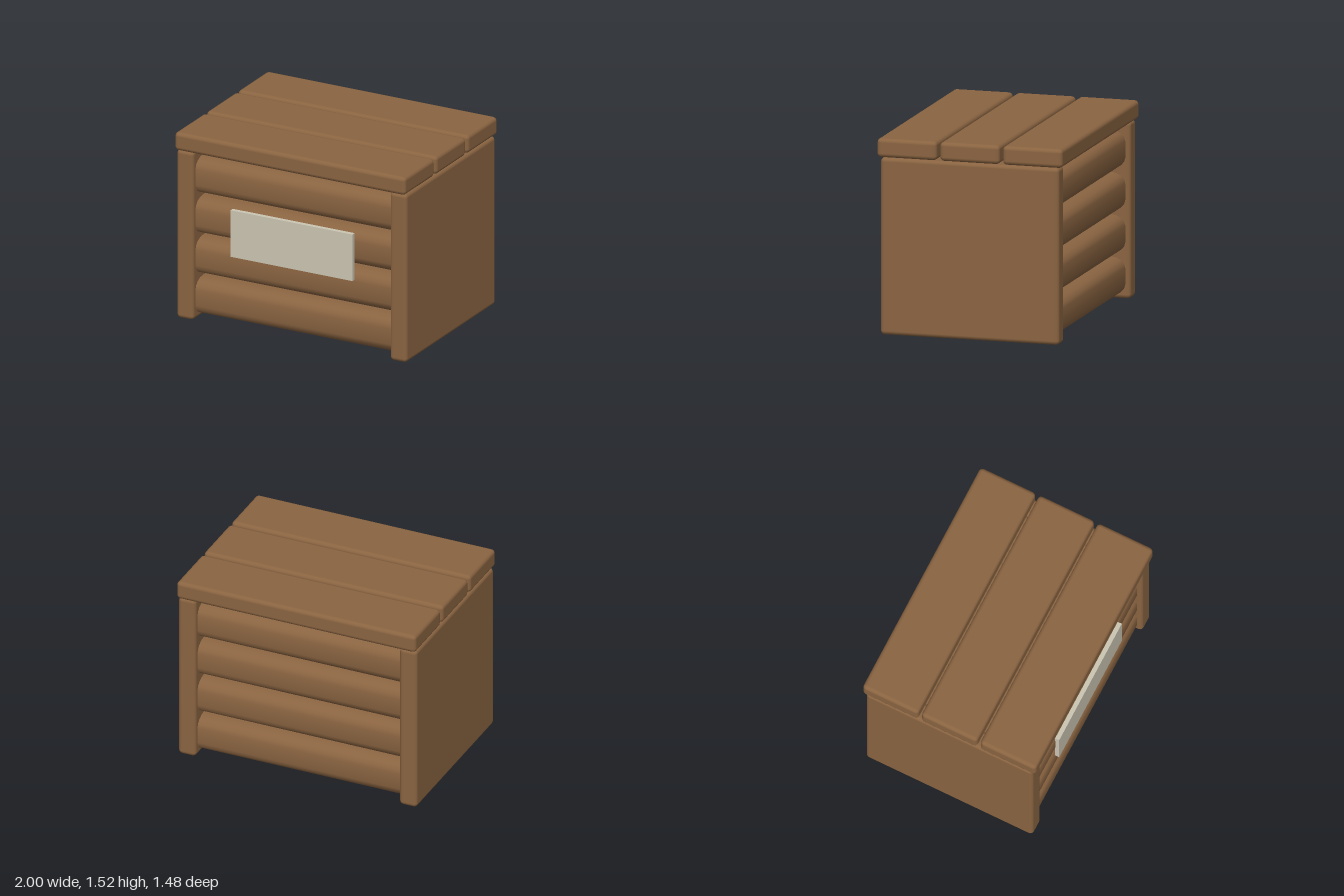
import * as THREE from 'three';
import { toCreasedNormals } from 'three/addons/utils/BufferGeometryUtils.js';
import { RoundedBoxGeometry } from 'three/addons/geometries/RoundedBoxGeometry.js';

export function createModel() {
  const crate = new THREE.Group();
  crate.name = 'crate';

  const wood = new THREE.MeshStandardMaterial({ color: 0x8a6441 });
  wood.name = 'brown wood';
  const cream = new THREE.MeshStandardMaterial({ color: 0xcbc5b2 });
  cream.name = 'cream board';

  const add = (name, geometry, material, x, y, z) => {
    const mesh = new THREE.Mesh(geometry, material);
    mesh.name = name;
    mesh.position.set(x, y, z);
    crate.add(mesh);
  };

  // End panels
  const panel = new RoundedBoxGeometry(0.147, 1.375, 1.42, 2, 0.032);
  add('leftEndPanel', panel, wood, 0.924, 0.6875, 0);
  add('rightEndPanel', panel, wood, -0.924, 0.6875, 0);

  // Lid planks
  const plank = new RoundedBoxGeometry(2, 0.147, 0.475, 2, 0.032);
  [-0.5, 0, 0.5].forEach((z, i) => add('lidPlank' + (i + 1), plank, wood, 0, 1.4485, z));

  // Body boards: rounded section run between the end panels
  const halfDepth = 0.67, halfHeight = 0.149, rz = 0.12, ry = 0.085;
  const section = new THREE.Shape();
  const corners = [[1, 1], [-1, 1], [-1, -1], [1, -1]];
  const points = [];
  corners.forEach(([sz, sy], quadrant) => {
    for (let i = 0; i <= 4; i++) {
      const a = (quadrant + i / 4) * Math.PI / 2;
      points.push(new THREE.Vector2(
        sz * (halfDepth - rz) + rz * Math.cos(a),
        sy * (halfHeight - ry) + ry * Math.sin(a)
      ));
    }
  });
  section.setFromPoints(points);
  const length = 1.74;
  const extruded = new THREE.ExtrudeGeometry(section, { depth: length, bevelEnabled: false });
  extruded.translate(0, 0, -length / 2).rotateY(Math.PI / 2);
  const board = toCreasedNormals(extruded, 0.7);
  for (let i = 0; i < 4; i++) add('bodyBoard' + (i + 1), board, wood, 0, 0.176 + i * 0.328, 0);

  // Blank plaque on the front
  add('plaque', new THREE.BoxGeometry(1.055, 0.38, 0.035), cream, 0, 0.773, 0.685);

  return crate;
}
